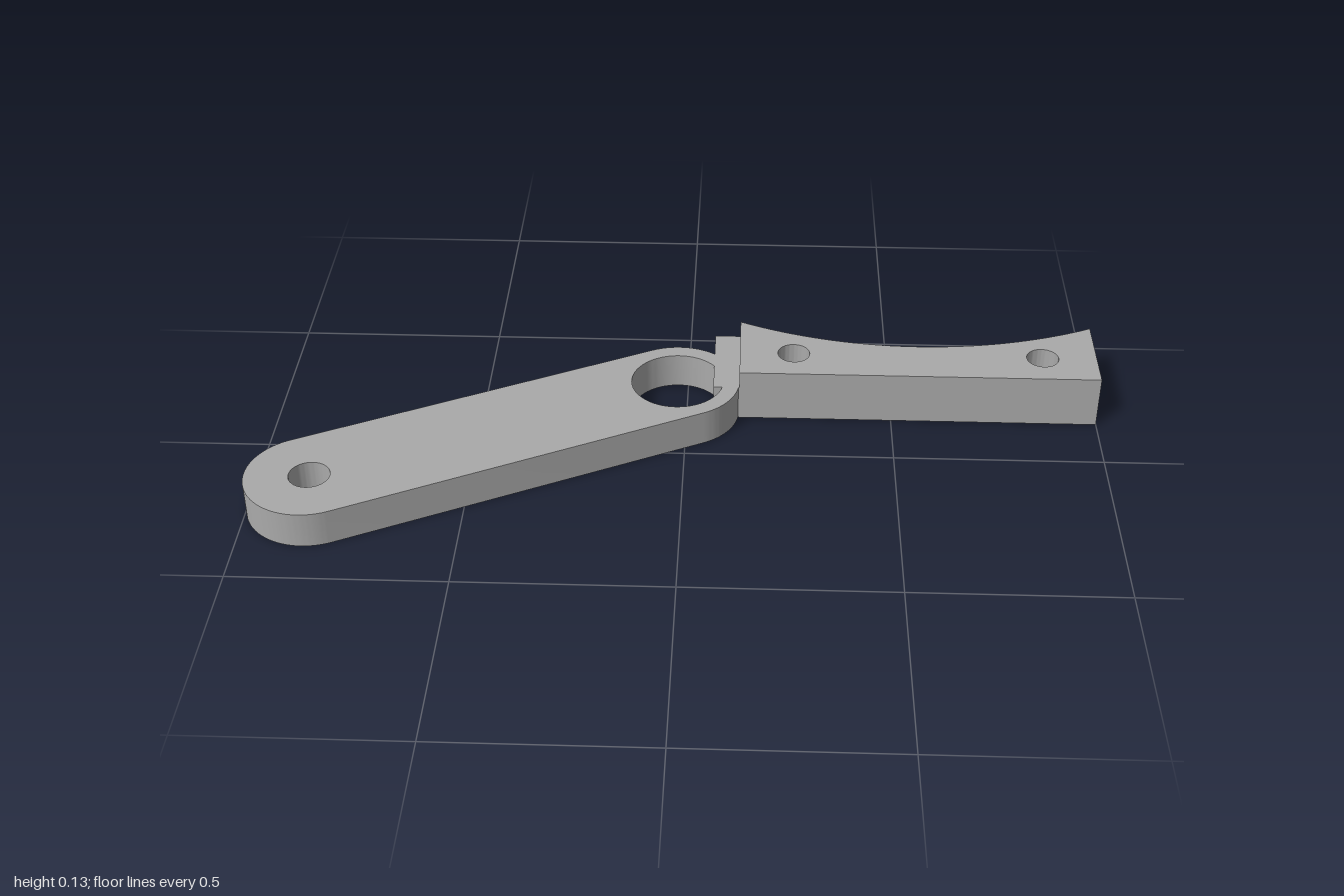
import * as THREE from 'three';
import { toCreasedNormals } from 'three/addons/utils/BufferGeometryUtils.js';

const ARM_HEIGHT = 0.088;
const CLAMP_HEIGHT = 0.131;

// Plan outlines use (x, -z); extruding and tipping them over makes y the height.
function plate(name, shape, height, material) {
  const flat = new THREE.ExtrudeGeometry(shape, { depth: height, bevelEnabled: false, curveSegments: 40 });
  flat.rotateX(-Math.PI / 2);
  const mesh = new THREE.Mesh(toCreasedNormals(flat, 0.5), material);
  mesh.name = name;
  return mesh;
}

function addHole(shape, x, z, radius) {
  shape.holes.push(new THREE.Path().absarc(x, -z, radius, 0, Math.PI * 2, true));
}

export function createModel() {
  const group = new THREE.Group();
  group.name = 'leverBracket';
  const grey = new THREE.MeshStandardMaterial({ color: 0xaaaaaa });
  grey.name = 'grey';

  // Arm: a slanted slot shape with a small and a large bore
  const end = { x: -0.85, z: 0.236 };
  const pivot = { x: -0.023, z: -0.18 };
  const slope = Math.atan2(end.z - pivot.z, pivot.x - end.x);
  const arm = new THREE.Shape();
  arm.absarc(pivot.x, -pivot.z, 0.151, slope - Math.PI / 2, slope + Math.PI / 2, false);
  arm.absarc(end.x, -end.z, 0.151, slope + Math.PI / 2, slope + Math.PI * 1.5, false);
  arm.closePath();
  addHole(arm, end.x, end.z, 0.048);
  addHole(arm, pivot.x, pivot.z, 0.112);
  group.add(plate('arm', arm, ARM_HEIGHT, grey));

  // Connecting block between the arm and the clamp
  const block = new THREE.Mesh(new THREE.BoxGeometry(0.105, ARM_HEIGHT, 0.231), grey);
  block.position.set(0.1175, ARM_HEIGHT / 2, -0.2715);
  block.name = 'connectingBlock';
  group.add(block);

  // Clamp: a bar with a concave back and two screw holes
  const left = 0.128, right = 1, front = 0.156, back = 0.387, sag = 0.099;
  const half = (right - left) / 2;
  const radius = (half * half + sag * sag) / (2 * sag);
  const angle = Math.asin(half / radius);
  const clamp = new THREE.Shape();
  clamp.moveTo(left, front);
  clamp.lineTo(right, front);
  clamp.lineTo(right, back);
  clamp.absarc((left + right) / 2, back - sag + radius, radius,
    -Math.PI / 2 + angle, -Math.PI / 2 - angle, true);
  clamp.closePath();
  for (const x of [0.26, 0.868]) addHole(clamp, x, -0.248, 0.039);
  group.add(plate('clamp', clamp, CLAMP_HEIGHT, grey));

  return group;
}
